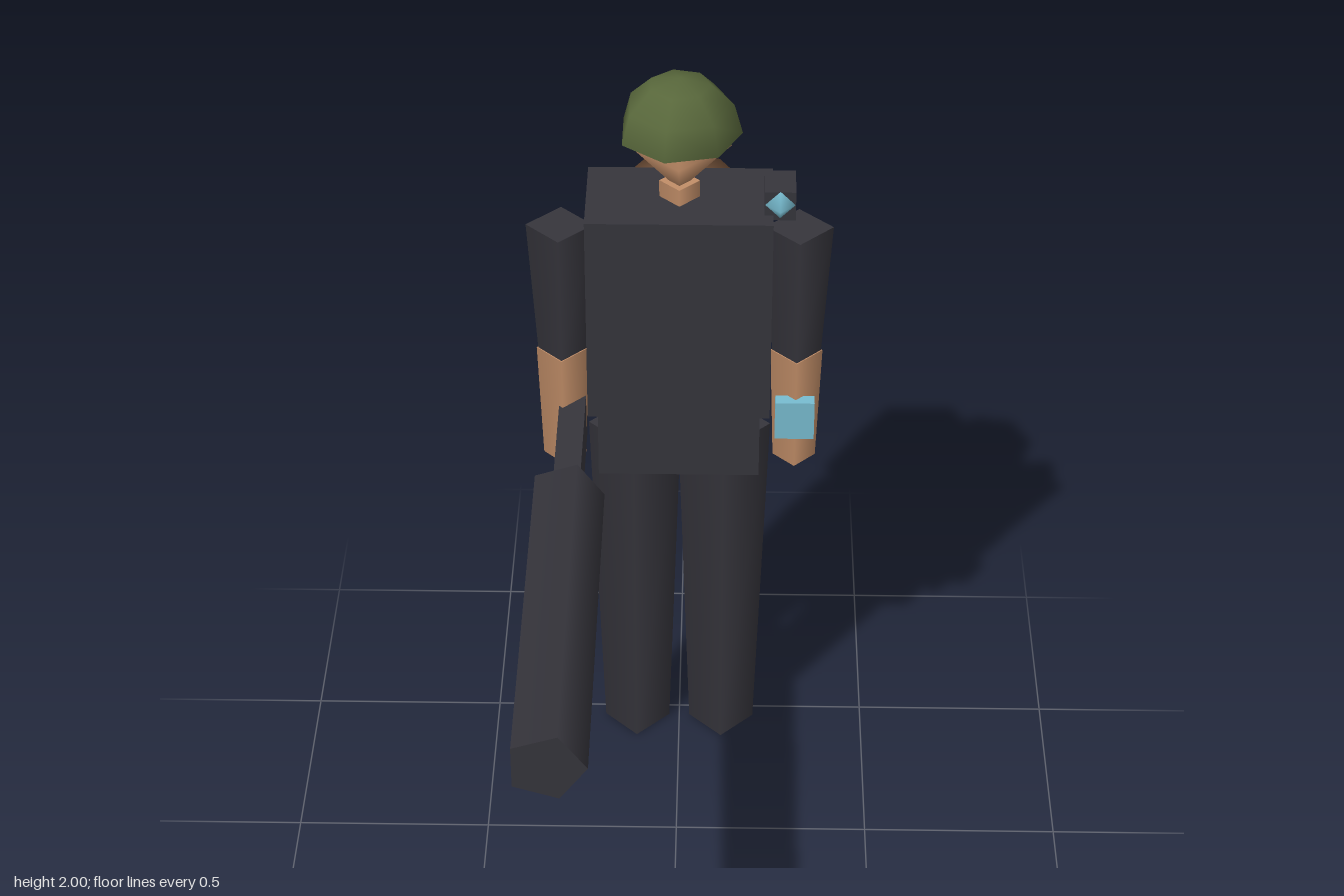
import * as THREE from 'three';

export function createModel() {
  const model = new THREE.Group();
  model.name = 'soldier';

  const paint = (name, color) => {
    const m = new THREE.MeshStandardMaterial({ color });
    m.name = name;
    return m;
  };
  const charcoal = paint('charcoal', 0x36353c);
  const skin = paint('skin', 0xc28e68);
  const olive = paint('olive', 0x58673b);
  const brown = paint('brown', 0x6f4e37);
  const blue = paint('blue', 0x78bcd0);

  const add = (name, geometry, material, x, y, z, parent = model) => {
    const mesh = new THREE.Mesh(geometry, material);
    mesh.name = name;
    mesh.position.set(x, y, z);
    parent.add(mesh);
    return mesh;
  };
  // box given by its extents along each axis
  const box = (name, material, [x0, x1], [y0, y1], [z0, z1]) =>
    add(name, new THREE.BoxGeometry(x1 - x0, y1 - y0, z1 - z0), material,
      (x0 + x1) / 2, (y0 + y1) / 2, (z0 + z1) / 2);
  // four-sided tapered limb standing between two heights
  const limb = (name, material, rTop, rBottom, x, yTop, yBottom) =>
    add(name, new THREE.CylinderGeometry(rTop, rBottom, yTop - yBottom, 4), material,
      x, (yTop + yBottom) / 2, bodyZ);

  const bodyZ = -0.462;

  // trunk
  box('torso', charcoal, [-0.23, 0.23], [1.1, 1.67], [-0.598, -0.328]);
  box('hips', charcoal, [-0.205, 0.205], [0.915, 1.1], [-0.585, -0.338]);

  // arms and legs
  for (const [side, s] of [['left', 1], ['right', -1]]) {
    limb(side + 'Leg', charcoal, 0.119, 0.0875, s * 0.115, 0.99, 0);
    limb(side + 'UpperArm', charcoal, 0.084, 0.062, s * 0.297, 1.585, 1.22);
    limb(side + 'Forearm', skin, 0.066, 0.055, s * 0.297, 1.22, 0.895);
  }

  // neck, head and helmet
  limb('neck', skin, 0.05, 0.05, 0, 1.715, 1.66);
  add('head', new THREE.SphereGeometry(0.127, 4, 2), skin, 0, 1.815, bodyZ);
  const helmet = new THREE.Group();
  helmet.name = 'helmet';
  helmet.position.set(0, 1.85, bodyZ);
  model.add(helmet);
  const dome = new THREE.SphereGeometry(0.153, 7, 3, Math.PI, Math.PI * 2, 0, Math.PI / 2);
  add('helmetDome', dome.scale(1, 0.15 / 0.153, 1), olive, 0, 0, 0, helmet);
  add('helmetUnderside', new THREE.CircleGeometry(0.153, 7).rotateX(Math.PI / 2), olive, 0, 0, 0, helmet);

  // round backpack
  add('backpack', new THREE.SphereGeometry(0.225, 6, 3), brown, 0, 1.39, -0.758);

  // shoulder lamp and wrist screen
  box('shoulderLampBody', charcoal, [0.208, 0.284], [1.657, 1.735], [-0.48, -0.375]);
  add('shoulderLampLens', new THREE.SphereGeometry(0.037, 4, 2), blue, 0.246, 1.7, -0.375);
  box('wristScreen', blue, [0.245, 0.345], [0.997, 1.107], [-0.42, -0.385]);

  // long gun: five-sided barrel with one edge towards the body, and a stock
  const barrel = new THREE.CylinderGeometry(0.095, 0.095, 1.024, 5)
    .rotateY(Math.PI / 2).rotateX(Math.PI / 2);
  add('gunBarrel', barrel, charcoal, -0.275, 1.028, 0.416);
  box('gunStock', charcoal, [-0.307, -0.24], [0.937, 1.075], [-0.51, -0.09]);

  return model;
}
